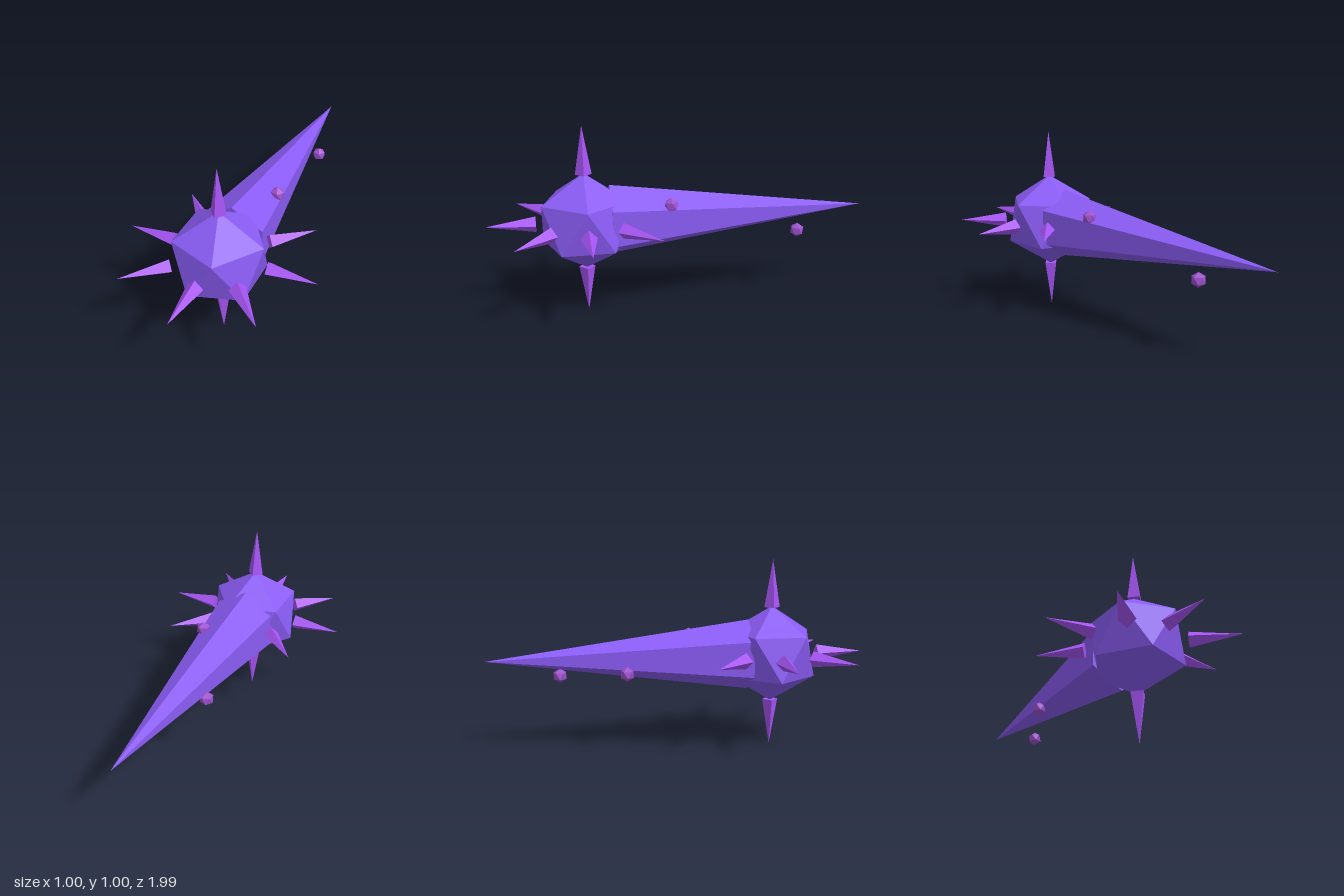
import * as THREE from 'three';

const CENTRE = new THREE.Vector3(0, 0.506, 0.497);
const mat = (color) => new THREE.MeshStandardMaterial({ color, flatShading: true });

// Icosahedron standing on one corner
function uprightIcosahedron(radius) {
  const golden = (1 + Math.sqrt(5)) / 2;
  return new THREE.IcosahedronGeometry(radius).rotateZ(-Math.atan(1 / golden));
}

export function createModel() {
  const model = new THREE.Group();
  model.name = 'spikedFlail';
  const bodyMat = mat(0x8b5cf6);
  const spikeMat = mat(0xa855f7);
  const nodeMat = mat(0xa052d0);

  const add = (name, geometry, material, position) => {
    const mesh = new THREE.Mesh(geometry, material);
    mesh.name = name;
    mesh.position.copy(position);
    model.add(mesh);
    return mesh;
  };

  // Faceted core
  add('core', uprightIcosahedron(0.255), bodyMat, CENTRE);

  // Long six-sided tail tapering to the back
  const tailLength = 1.363;
  const tail = new THREE.ConeGeometry(0.186, tailLength, 6)
    .rotateX(-Math.PI / 2)
    .translate(0, 0, -0.127 - tailLength / 2);
  add('tail', tail, bodyMat, CENTRE);

  // Four-sided spikes: top, bottom and a horizontal ring left open at the tail
  const spike = new THREE.ConeGeometry(0.042, 0.25, 4).translate(0, 0.249 + 0.125, 0);
  add('topSpike', spike, spikeMat, CENTRE);
  add('bottomSpike', spike, spikeMat, CENTRE).rotation.x = Math.PI;
  for (let i = -3; i <= 3; i++) {
    add('ringSpike', spike, spikeMat, CENTRE).rotation.set(Math.PI / 2, (i * Math.PI) / 4, 0, 'YXZ');
  }

  // Small nodes along the tail
  const node = uprightIcosahedron(0.038);
  for (const [x, y, z] of [[0.105, 0.6, 0.068], [-0.09, 0.438, -0.277], [0.07, 0.406, -0.617]]) {
    add('tailNode', node, nodeMat, new THREE.Vector3(x, y, z));
  }

  return model;
}
